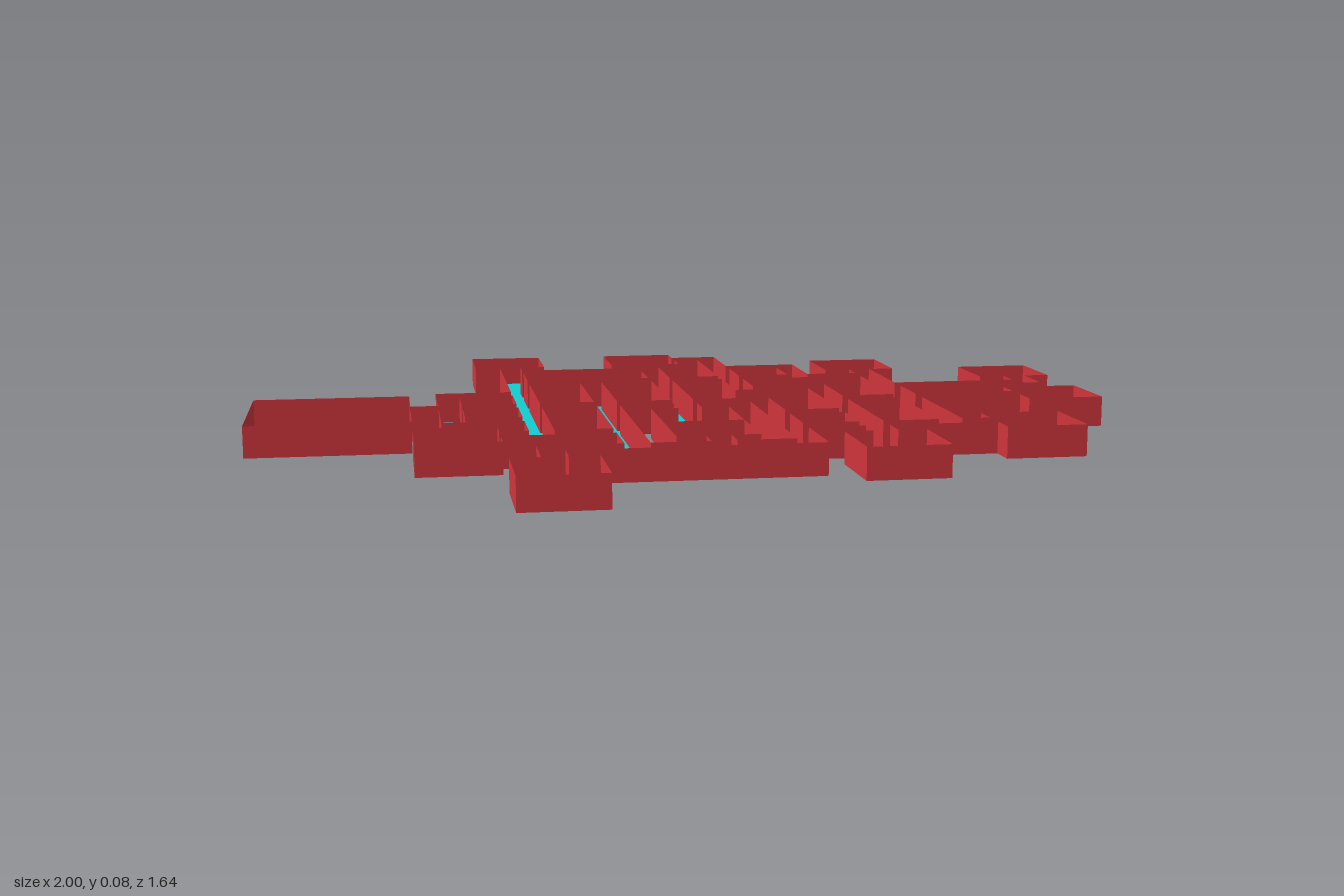
import * as THREE from 'three';
import { mergeGeometries } from 'three/addons/utils/BufferGeometryUtils.js';

const CELL = 2 / 11;      // size of one grid square
const HALF = 0.15;        // half corridor width, in squares
const FLOOR_Y = 0.006;
const WALL_TOP = 0.077;

// Square rooms: centre x, centre z (in grid squares)
const ROOMS = [
  [-2, -4], [0, -4], [3, -3], [5, -2], [5, 0], [4, 2],
  [2, 3], [-2, 4], [-3, 2], [0, 1], [0, 2],
];

// Corridor centre lines: x0, z0, x1, z1 (in grid squares)
const CORRIDORS = [
  // running left to right
  [0, -4, 1, -4], [-2, -3, 0, -3], [1, -3, 2, -3], [-2, -2, 3, -2],
  [-3, -1, -2, -1], [1, -1, 2, -1], [3, -1, 5, -1],
  [-4, 0, 1, 0], [2, 0, 5, 0], [-3, 1, -2, 1], [1, 1, 2, 1],
  [-3, 2, -1, 2], [1, 2, 4, 2], [-2, 3, 1, 3],
  // running back to front
  [-3, -1, -3, 1], [-2, -4, -2, 2], [-2, 3, -2, 4], [-1, -2, -1, 3],
  [0, -3, 0, 1], [0, 2, 0, 3], [1, -4, 1, -1], [1, 0, 1, 3],
  [2, -3, 2, -2], [2, -1, 2, 3], [3, -3, 3, 2], [5, -2, 5, -1],
];

// Flat floor piece between two corners
function floorPiece(x0, z0, x1, z1) {
  return new THREE.PlaneGeometry((x1 - x0) * CELL, (z1 - z0) * CELL)
    .rotateX(-Math.PI / 2)
    .translate((x0 + x1) / 2 * CELL, FLOOR_Y, (z0 + z1) / 2 * CELL);
}

// Upright wall from one floor point to another; it faces right of its direction
function wallPiece(x0, z0, x1, z1) {
  const dx = x1 - x0, dz = z1 - z0;
  return new THREE.PlaneGeometry(Math.hypot(dx, dz) * CELL, WALL_TOP - FLOOR_Y)
    .rotateY(-Math.atan2(dz, dx))
    .translate((x0 + x1) / 2 * CELL, (FLOOR_Y + WALL_TOP) / 2, (z0 + z1) / 2 * CELL);
}

export function createModel() {
  const group = new THREE.Group();
  const teal = new THREE.MeshStandardMaterial({ color: 0x10cdd0, side: THREE.DoubleSide });
  teal.name = 'teal floor';
  const red = new THREE.MeshStandardMaterial({ color: 0xd0353c, side: THREE.DoubleSide });
  red.name = 'red wall';
  const grey = new THREE.MeshStandardMaterial({ color: 0x6b7272 });
  grey.name = 'grey marker';

  const add = (name, geometry, material) => {
    const mesh = new THREE.Mesh(geometry, material);
    mesh.name = name;
    group.add(mesh);
  };

  // All rectangles of the plan, starting with the large hall
  const rects = [[-5.5, -1, -3.5, 1]];
  for (const [x, z] of ROOMS) rects.push([x - 0.5, z - 0.5, x + 0.5, z + 0.5]);
  for (const [x0, z0, x1, z1] of CORRIDORS) {
    rects.push([x0 - HALF, z0 - HALF, x1 + HALF, z1 + HALF]);
  }

  // Cut the plan along every rectangle edge, then test each patch
  const cuts = (a, b) => [...new Set(rects.flatMap(r => [r[a], r[b]])
    .map(v => Math.round(v * 100) / 100))].sort((p, q) => p - q);
  const xs = cuts(0, 2), zs = cuts(1, 3);
  const inside = (i, j) => {
    if (i < 0 || j < 0 || i >= xs.length - 1 || j >= zs.length - 1) return false;
    const x = (xs[i] + xs[i + 1]) / 2, z = (zs[j] + zs[j + 1]) / 2;
    return rects.some(r => x > r[0] && x < r[2] && z > r[1] && z < r[3]);
  };

  // Floor on every covered patch, wall on every outer edge
  const floors = [], walls = [];
  for (let i = 0; i < xs.length - 1; i++) {
    for (let j = 0; j < zs.length - 1; j++) {
      if (!inside(i, j)) continue;
      const x0 = xs[i], x1 = xs[i + 1], z0 = zs[j], z1 = zs[j + 1];
      floors.push(floorPiece(x0, z0, x1, z1));
      if (!inside(i, j + 1)) walls.push(wallPiece(x0, z1, x1, z1));
      if (!inside(i + 1, j)) walls.push(wallPiece(x1, z1, x1, z0));
      if (!inside(i, j - 1)) walls.push(wallPiece(x1, z0, x0, z0));
      if (!inside(i - 1, j)) walls.push(wallPiece(x0, z0, x0, z1));
    }
  }
  // Partition between the two middle rooms
  walls.push(wallPiece(-0.5, 1.5, 0.5, 1.5));

  add('floor', mergeGeometries(floors), teal);
  add('walls', mergeGeometries(walls), red);

  // Small plate set into the floor of the right-hand end room
  add('floorMarker', new THREE.BoxGeometry(0.09, 0.012, 0.046).translate(0.954, 0.006, -0.018), grey);

  return group;
}
